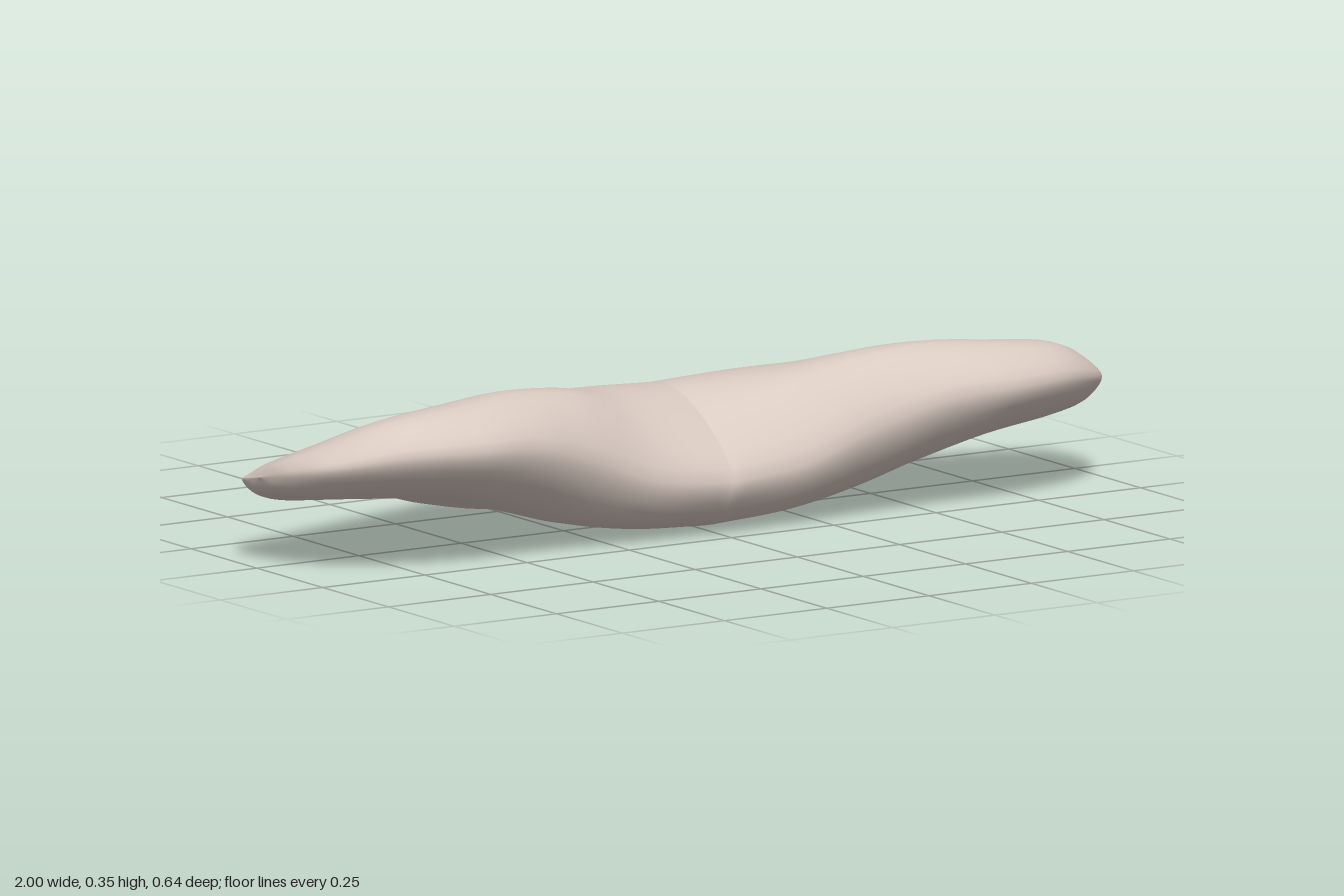
import * as THREE from 'three';

// Cross-sections from the centre outward: x, then [z, y] around the loop
// (back, back top, top, front top, front, front bottom, bottom, back bottom)
const SECTIONS = [
  { x: 0, p: [[-0.32, 0.12], [-0.24, 0.205], [-0.02, 0.285], [0.12, 0.25], [0.26, 0.12], [0.18, 0.02], [-0.07, 0.025], [-0.22, 0.008]] },
  { x: 0.18, p: [[-0.322, 0.12], [-0.24, 0.215], [0, 0.297], [0.15, 0.28], [0.26, 0.14], [0.19, 0.035], [-0.05, 0.035], [-0.22, 0.03]] },
  { x: 0.34, p: [[-0.318, 0.125], [-0.23, 0.22], [0, 0.3], [0.18, 0.328], [0.275, 0.2], [0.19, 0.065], [-0.04, 0.05], [-0.22, 0.037]] },
  { x: 0.5, p: [[-0.27, 0.13], [-0.19, 0.215], [0.02, 0.3], [0.2, 0.348], [0.305, 0.25], [0.22, 0.12], [-0.02, 0.085], [-0.18, 0.065]] },
  { x: 0.65, p: [[-0.22, 0.145], [-0.14, 0.2], [0.04, 0.295], [0.23, 0.34], [0.32, 0.26], [0.24, 0.16], [0.02, 0.125], [-0.14, 0.105]] },
  { x: 0.82, p: [[-0.155, 0.16], [-0.1, 0.2], [0.04, 0.27], [0.21, 0.318], [0.285, 0.26], [0.22, 0.18], [0.03, 0.135], [-0.1, 0.122]] },
  { x: 0.94, p: [[-0.115, 0.165], [-0.08, 0.195], [0.02, 0.235], [0.13, 0.262], [0.195, 0.235], [0.14, 0.18], [0.02, 0.145], [-0.08, 0.138]] },
  { x: 0.985, p: [[-0.08, 0.175], [-0.05, 0.19], [0.01, 0.215], [0.06, 0.228], [0.1, 0.215], [0.07, 0.185], [0.01, 0.165], [-0.05, 0.16]] },
];
const TIP = [1, 0.195, 0.01];
const AROUND = 40;
const ALONG = 6; // steps between neighbouring sections

// One half of the body, lofted from the centre plane to the tip
function halfGeometry(side) {
  const rings = SECTIONS.map(({ x, p }) => {
    const loop = new THREE.CatmullRomCurve3(p.map(([z, y]) => new THREE.Vector3(x, y, z)), true);
    return Array.from({ length: AROUND }, (_, j) => loop.getPoint(j / AROUND));
  });
  const steps = rings.length * ALONG;
  const positions = new Float32Array((steps + 1) * AROUND * 3);
  for (let j = 0; j < AROUND; j++) {
    const line = new THREE.CatmullRomCurve3([...rings.map((r) => r[j]), new THREE.Vector3(...TIP)]);
    for (let i = 0; i <= steps; i++) {
      const v = line.getPoint(i / steps);
      positions.set([side * v.x, Math.max(0, v.y), v.z], (i * AROUND + j) * 3);
    }
  }
  const index = [];
  for (let i = 0; i < steps; i++) {
    for (let j = 0; j < AROUND; j++) {
      const k = (j + 1) % AROUND;
      const a = i * AROUND + j, b = a + AROUND;
      const c = i * AROUND + k, d = c + AROUND;
      if (side > 0) index.push(a, c, b, c, d, b);
      else index.push(a, b, c, c, b, d);
    }
  }
  const geometry = new THREE.BufferGeometry();
  geometry.setAttribute('position', new THREE.BufferAttribute(positions, 3));
  geometry.setIndex(index);
  geometry.computeVertexNormals();
  return geometry;
}

export function createModel() {
  const model = new THREE.Group();
  model.name = 'curvedBody';
  const material = new THREE.MeshStandardMaterial({ color: 0xd9cac1 });
  material.name = 'pale beige';

  // Mirrored halves meet in a crease on the centre plane
  for (const [name, side] of [['leftHalf', 1], ['rightHalf', -1]]) {
    const half = new THREE.Mesh(halfGeometry(side), material);
    half.name = name;
    model.add(half);
  }
  return model;
}
